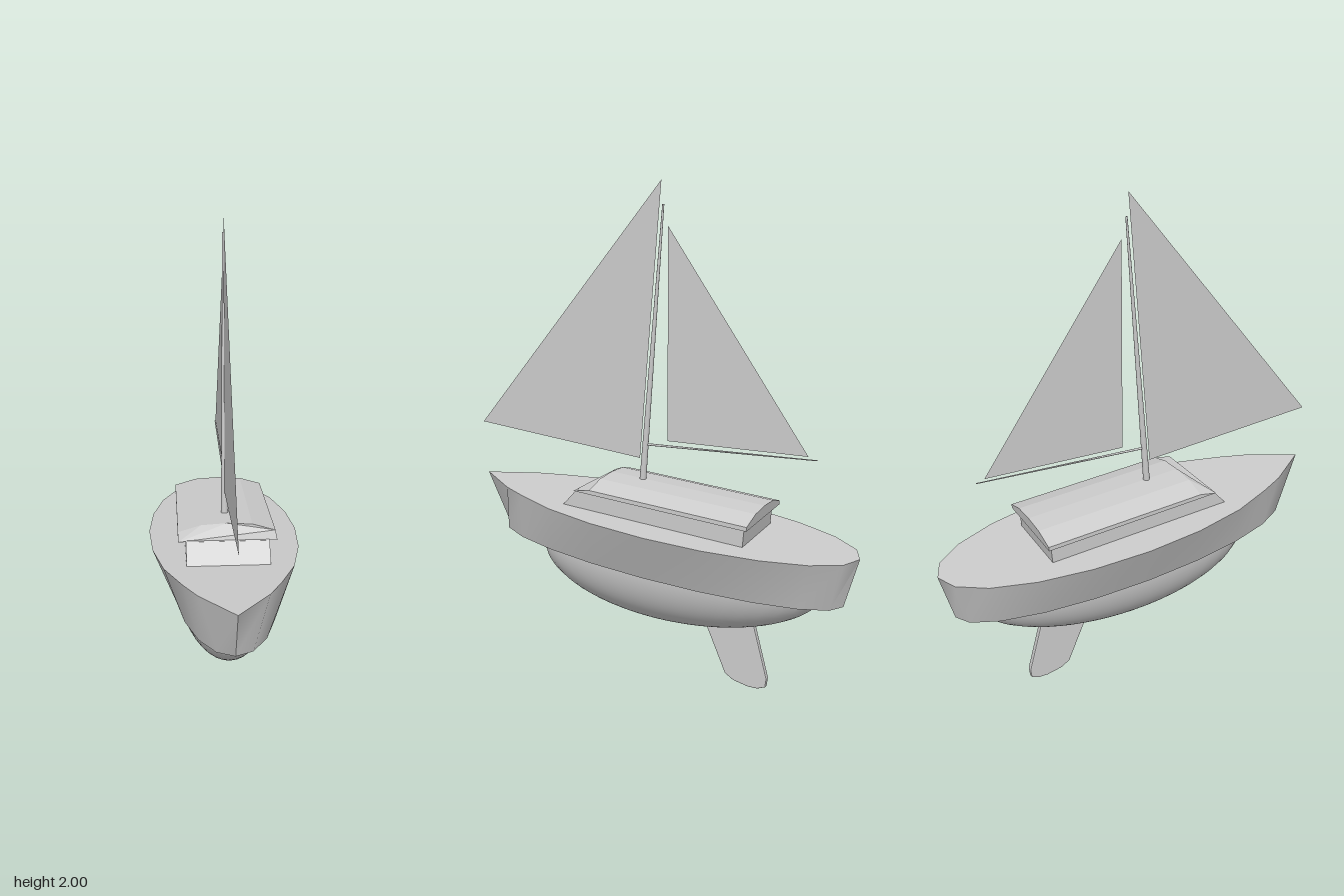
import * as THREE from 'three';
import { toCreasedNormals } from 'three/addons/utils/BufferGeometryUtils.js';

const grey = new THREE.MeshStandardMaterial({ color: 0xcccccc });
grey.name = 'light grey';
grey.side = THREE.DoubleSide;

const mesh = (name, geometry) => {
  const m = new THREE.Mesh(geometry, grey);
  m.name = name;
  return m;
};

const outline = (points) => new THREE.Shape(points.map(([a, b]) => new THREE.Vector2(a, b)));

// Side profile given as [z, y], given a width across x
function sidePlate(points, width, bevel = 0) {
  const g = new THREE.ExtrudeGeometry(outline(points), {
    depth: width - 2 * bevel, bevelEnabled: bevel > 0, bevelSize: bevel,
    bevelThickness: bevel, bevelOffset: -bevel, bevelSegments: 2,
  });
  return g.translate(0, 0, -(width - 2 * bevel) / 2).rotateY(-Math.PI / 2);
}

// Flat sail in the plane x = 0
const sail = (points) => new THREE.ShapeGeometry(outline(points)).rotateY(-Math.PI / 2);

// Round spar between two [z, y] points
function spar(name, a, b, r0, r1, sides) {
  const from = new THREE.Vector3(0, a[1], a[0]);
  const dir = new THREE.Vector3(0, b[1], b[0]).sub(from);
  const g = new THREE.CylinderGeometry(r1, r0, dir.length(), sides);
  const m = mesh(name, g);
  m.position.copy(from).addScaledVector(dir, 0.5);
  m.quaternion.setFromUnitVectors(new THREE.Vector3(0, 1, 0), dir.normalize());
  return m;
}

// Flared hull: an oval tapered drum with its upper rim drawn to a pointed bow
function hullGeometry() {
  const g = new THREE.CylinderGeometry(1, 1, 0.205, 20, 1);
  const p = g.attributes.position;
  for (let i = 0; i < p.count; i++) {
    const x = p.getX(i), y = p.getY(i), z = p.getZ(i);
    if (y > 0) {
      const nearBow = z > 0.94 && z < 0.99;
      p.setX(i, x * 0.305 * (nearBow ? 1.35 : 1));
      p.setZ(i, z > 0.99 ? 0.826 : z * 0.763 - 0.08);
    } else {
      p.setX(i, x * 0.212);
      p.setZ(i, z * 0.755 - 0.05);
    }
  }
  g.translate(0, -0.1025, 0);
  return toCreasedNormals(g, 0.85);
}

// Cambered cabin roof with a raked front end
function roofGeometry() {
  const section = outline([
    [-0.19, 0.077], [0.19, 0.077], [0.19, 0.094], [0.1, 0.12],
    [0, 0.126], [-0.1, 0.12], [-0.19, 0.094],
  ]);
  const g = new THREE.ExtrudeGeometry(section, { depth: 1, bevelEnabled: false });
  const p = g.attributes.position;
  for (let i = 0; i < p.count; i++) {
    const front = p.getY(i) > 0.08 ? 0.222 : 0.293;
    p.setZ(i, p.getZ(i) > 0.5 ? front : -0.449);
  }
  g.computeVertexNormals();
  return g;
}

export function createModel() {
  const boat = new THREE.Group();
  boat.name = 'sailboat';

  // Hull and cabin share a slight bow-up pitch
  const body = new THREE.Group();
  body.name = 'hullAndCabin';
  body.position.y = 0.688;
  body.rotation.x = -0.087;
  body.add(mesh('hull', hullGeometry()));
  body.add(mesh('cabinWalls', sidePlate(
    [[-0.43, -0.02], [0.367, -0.02], [0.347, 0.005], [0.29, 0.08], [-0.43, 0.08]], 0.32)));
  body.add(mesh('cabinRoof', roofGeometry()));
  boat.add(body);

  // Rounded underbody below the hull
  const belly = mesh('underbody',
    new THREE.SphereGeometry(1, 40, 24, 0, Math.PI * 2, 1.3, Math.PI - 1.3));
  belly.scale.set(0.203, 0.265, 0.63);
  belly.position.set(0, 0.5, -0.1);
  boat.add(belly);

  // Keel fin
  boat.add(mesh('keelFin', sidePlate([
    [-0.18, 0.34], [-0.223, 0.239], [-0.308, 0.042], [-0.345, 0.018], [-0.41, 0.003],
    [-0.45, 0.003], [-0.483, 0.016], [-0.488, 0.053], [-0.43, 0.27], [-0.415, 0.34],
  ], 0.025, 0.005)));

  // Rigging
  boat.add(spar('mast', [0.07, 0.78], [-0.023, 1.91], 0.014, 0.004, 12));
  boat.add(spar('boom', [0.055, 0.965], [-0.66, 0.977], 0.005, 0.002, 8));
  boat.add(mesh('foreSail', sail([[-0.015, 2], [0.08, 0.905], [0.84, 0.985]])));
  boat.add(mesh('mainSail', sail([[-0.043, 1.83], [-0.626, 0.988], [-0.043, 0.988]])));

  return boat;
}
